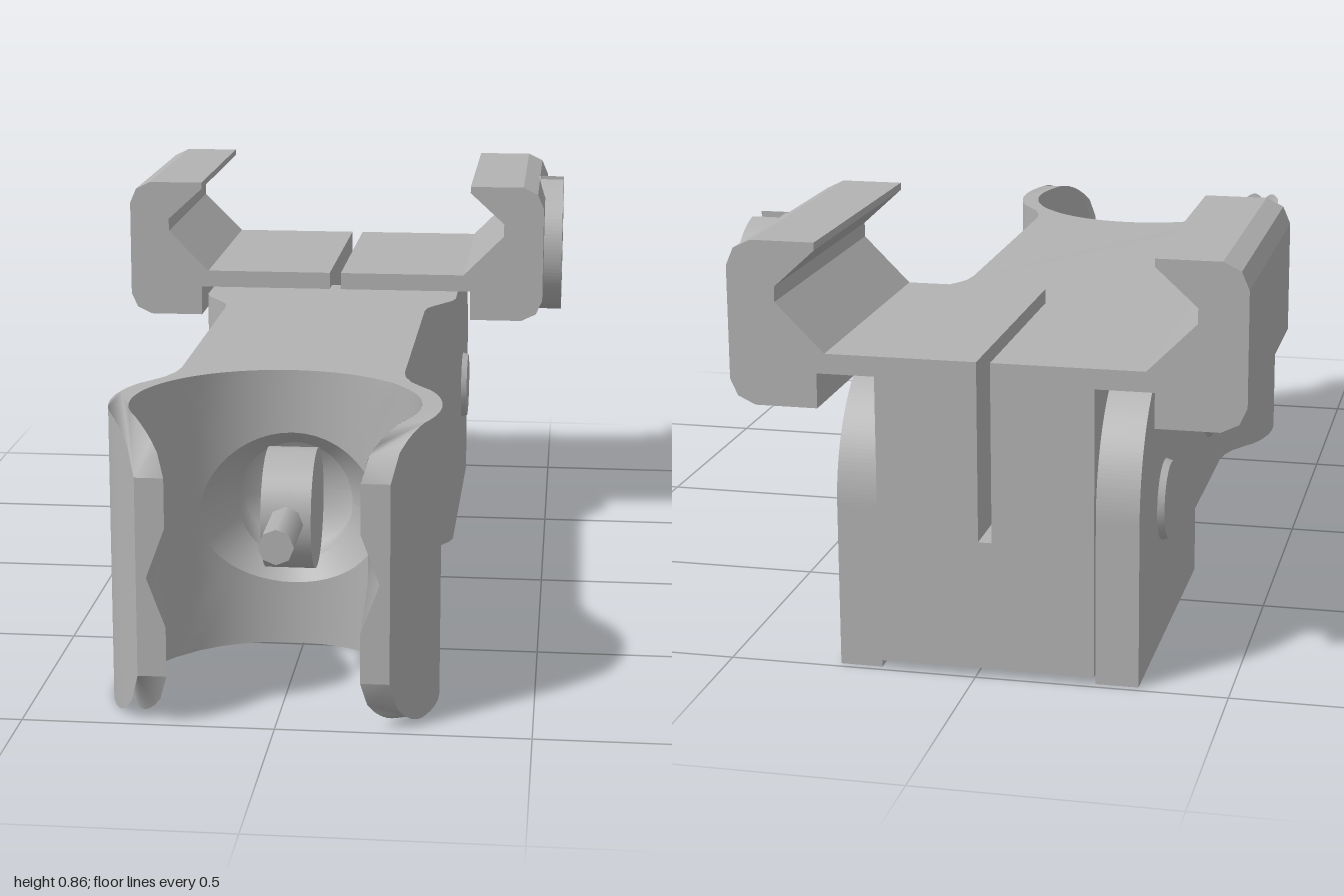
import * as THREE from 'three';

const grey = new THREE.MeshStandardMaterial({ color: 0xb2b2b2, side: THREE.DoubleSide });
grey.name = 'metal grey';

const H = 0.6, R = 0.29, ZC = 0.78;              // body height, clamp bore radius and centre
const T = Math.acos(-0.22 / R), PATCH = 0.95;    // bore end angle, angle of the drilled patch
const lo = z => (z > 0.9 ? 0.1 - Math.sqrt(Math.max(0, 0.01 - (z - 0.9) ** 2)) : 0);
const bore = t => [R * Math.sin(t), ZC - R * Math.cos(t)];

// Surface made from a rule f(i, j) -> [x, y, z]
function grid(nu, nv, f) {
  const pos = [], idx = [];
  for (let i = 0; i <= nu; i++) for (let j = 0; j <= nv; j++) pos.push(...f(i, j));
  for (let i = 0; i < nu; i++) for (let j = 0; j < nv; j++) {
    const a = i * (nv + 1) + j, b = a + nv + 1;
    idx.push(a, b, a + 1, b, b + 1, a + 1);
  }
  const g = new THREE.BufferGeometry();
  g.setAttribute('position', new THREE.Float32BufferAttribute(pos, 3));
  g.setIndex(idx);
  g.computeVertexNormals();
  return g;
}

const shapeOf = pts => new THREE.Shape(pts.map(p => new THREE.Vector2(p[0], p[1])));
const extrude = (shape, depth) =>
  new THREE.ExtrudeGeometry(shape, { depth, bevelEnabled: false, curveSegments: 24 });
// Profile in (-z, y), extruded along +x from x0
const extrudeX = (shape, x0, depth) => extrude(shape, depth).rotateY(Math.PI / 2).translate(x0, 0, 0);

export function createModel() {
  const group = new THREE.Group();
  const model = new THREE.Group();
  model.name = 'railClamp';
  model.position.x = -0.022;
  group.add(model);
  const add = (name, geo) => {
    const m = new THREE.Mesh(geo, grey);
    m.name = name;
    model.add(m);
    return m;
  };

  // Half outline of the body seen from above: (x, z), back to front
  const outer = [[0.3, -0.45], [0.3, -0.31], [0.292, -0.28], [0.252, -0.215], [0.24, -0.19], [0.235, -0.15],
    [0.235, 0.49], [0.24, 0.53], [0.255, 0.575], [0.28, 0.615], [0.298, 0.64]];
  for (let i = 0; i <= 18; i++) {
    const z = 0.67 + 0.33 * i / 18;
    outer.push([Math.sqrt(0.33 ** 2 - (z - ZC) ** 2), z]);
  }
  const outline = [...outer];
  for (let i = 0; i <= 72; i++) outline.push(bore(T - 2 * T * i / 72));
  outline.push(...outer.map(p => [-p[0], p[1]]).reverse());

  // Top and bottom faces, bent where the jaw tips are rounded
  for (const top of [true, false]) {
    const g = new THREE.ShapeGeometry(shapeOf(outline));
    const p = g.attributes.position;
    for (let i = 0; i < p.count; i++) {
      const z = p.getY(i);
      p.setXYZ(i, p.getX(i), top ? H - lo(z) : lo(z), z);
    }
    if (top) {
      const ix = g.index.array;
      for (let i = 0; i < ix.length; i += 3) [ix[i], ix[i + 1]] = [ix[i + 1], ix[i]];
    }
    g.computeVertexNormals();
    add(top ? 'bodyTop' : 'bodyBottom', g);
  }
  const yAt = (z, j) => lo(z) + (H - 2 * lo(z)) * j / 4;

  for (const s of [1, -1]) {
    // Outer side wall
    add('bodySide', grid(outer.length - 1, 4, (i, j) => {
      const [x, z] = outer[i];
      return [s * x, yAt(z, j), z];
    }));
    // Inside of the jaw, with a small notch at the tip
    add('jawInside', grid(24, 4, (i, j) => {
      const [x, z] = bore(PATCH + (T - PATCH) * i / 24);
      return [s * (i === 24 && j === 2 ? 0.226 : x), yAt(z, j), z];
    }));
    add('jawTip', grid(1, 4, (i, j) => {
      const x = i ? outer[outer.length - 1][0] : j === 2 ? 0.226 : bore(T)[0];
      return [s * x, yAt(1, j), 1];
    }));

    // Rear cheek with rounded upper corner
    const cheek = new THREE.Shape();
    cheek.moveTo(0.45, 0);
    cheek.lineTo(0.985, 0);
    cheek.lineTo(0.985, 0.33);
    cheek.absarc(0.715, 0.33, 0.27, 0, Math.PI / 2, false);
    cheek.lineTo(0.45, H);
    add('rearCheek', extrudeX(cheek, s > 0 ? 0.215 : -0.3, 0.085));

    // Side boss and small pin
    const boss = new THREE.CylinderGeometry(0.168, 0.198, 0.03, 32).rotateZ(-s * Math.PI / 2);
    add('sideBoss', boss.translate(s * 0.248, 0.305, 0.35));
    const pin = new THREE.CylinderGeometry(0.078, 0.085, 0.02, 24).rotateZ(-s * Math.PI / 2);
    add('sidePin', pin.translate(s * 0.304, 0.295, -0.71));

    // Half of the accessory rail, with its stem
    const half = [[0.0135, 0.28], [0.215, 0.28], [0.215, 0.6], [0.33, 0.6], [0.33, 0.53], [0.455, 0.53],
      [0.49, 0.547], [0.505, 0.58], [0.505, 0.805], [0.49, 0.84], [0.455, 0.857], [0.328, 0.857],
      [0.328, 0.842], [0.41, 0.767], [0.41, 0.737], [0.313, 0.64], [0.0135, 0.64]];
    add('railHalf', extrude(shapeOf(half.map(p => [s * p[0], p[1]])), 0.6).translate(0, 0, -1));

    // Half of the slotted screw head
    const a = Math.acos(0.027 / 0.167), mid = s > 0 ? 0 : Math.PI;
    const seg = new THREE.Shape();
    seg.absarc(0.688, 0.675, 0.167, mid - a, mid + a, false);
    add('screwHeadHalf', extrudeX(seg, 0.48, 0.069));
  }
  add('screwHeadBase', new THREE.CylinderGeometry(0.167, 0.167, 0.05, 32)
    .rotateZ(Math.PI / 2).translate(0.467, 0.675, -0.688));

  // Rear face of the main body
  add('bodyBack', new THREE.PlaneGeometry(0.6, H).rotateY(Math.PI).translate(0, H / 2, -0.45));

  // Clamp bore wall around the drilled hole, its countersink and its barrel
  const N = 48;
  const rim = i => {
    const a = 2 * Math.PI * i / N;
    return [Math.asin(0.19 * Math.cos(a) / R), 0.3 + 0.165 * Math.sin(a), a];
  };
  add('boreWall', grid(N, 6, (i, j) => {
    const [t0, y0, a] = rim(i), c = Math.cos(a), s = Math.sin(a);
    const m = 1 / Math.max(Math.abs(c), Math.abs(s)), k = j / 6;
    const [x, z] = bore(t0 + (PATCH * c * m - t0) * k);
    return [x, y0 + (0.3 + 0.3 * s * m - y0) * k, z];
  }));
  add('countersink', grid(N, 1, (i, j) => {
    const [t, y, a] = rim(i), [x, z] = bore(t);
    return j ? [0.123 * Math.cos(a), 0.304 + 0.13 * Math.sin(a), 0.45] : [x, y, z];
  }));
  add('holeBarrel', grid(N, 2, (i, j) => {
    const a = 2 * Math.PI * i / N, r = j === 2 ? 0 : 1;
    return [0.123 * r * Math.cos(a), 0.304 + 0.13 * r * Math.sin(a), j ? 0.35 : 0.45];
  }));

  // Roller and its spigot inside the clamp
  add('roller', new THREE.CylinderGeometry(0.128, 0.128, 0.105, 32).rotateZ(Math.PI / 2).translate(0, 0.305, 0.5));
  add('spigot', new THREE.CylinderGeometry(0.037, 0.037, 0.19, 8).rotateX(Math.PI / 2).translate(0, 0.304, 0.695));

  // Lower part of the rail stem with a bolt hole from below
  const stem = shapeOf([[-0.215, 0.45], [0.215, 0.45], [0.215, 1], [-0.215, 1]]);
  const hole = new THREE.Path();
  hole.absarc(0, 0.73, 0.135, 0, Math.PI * 2, true);
  stem.holes.push(hole);
  add('railStem', extrude(stem, 0.26).rotateX(-Math.PI / 2).translate(0, 0.02, 0));

  // Sloped floor closing the front of the rail slot
  add('slotRamp', extrudeX(shapeOf([[0.6, 0.28], [0.6, 0.29], [0.4, 0.6], [0.4, 0.28]]), -0.0135, 0.027));
  return group;
}
